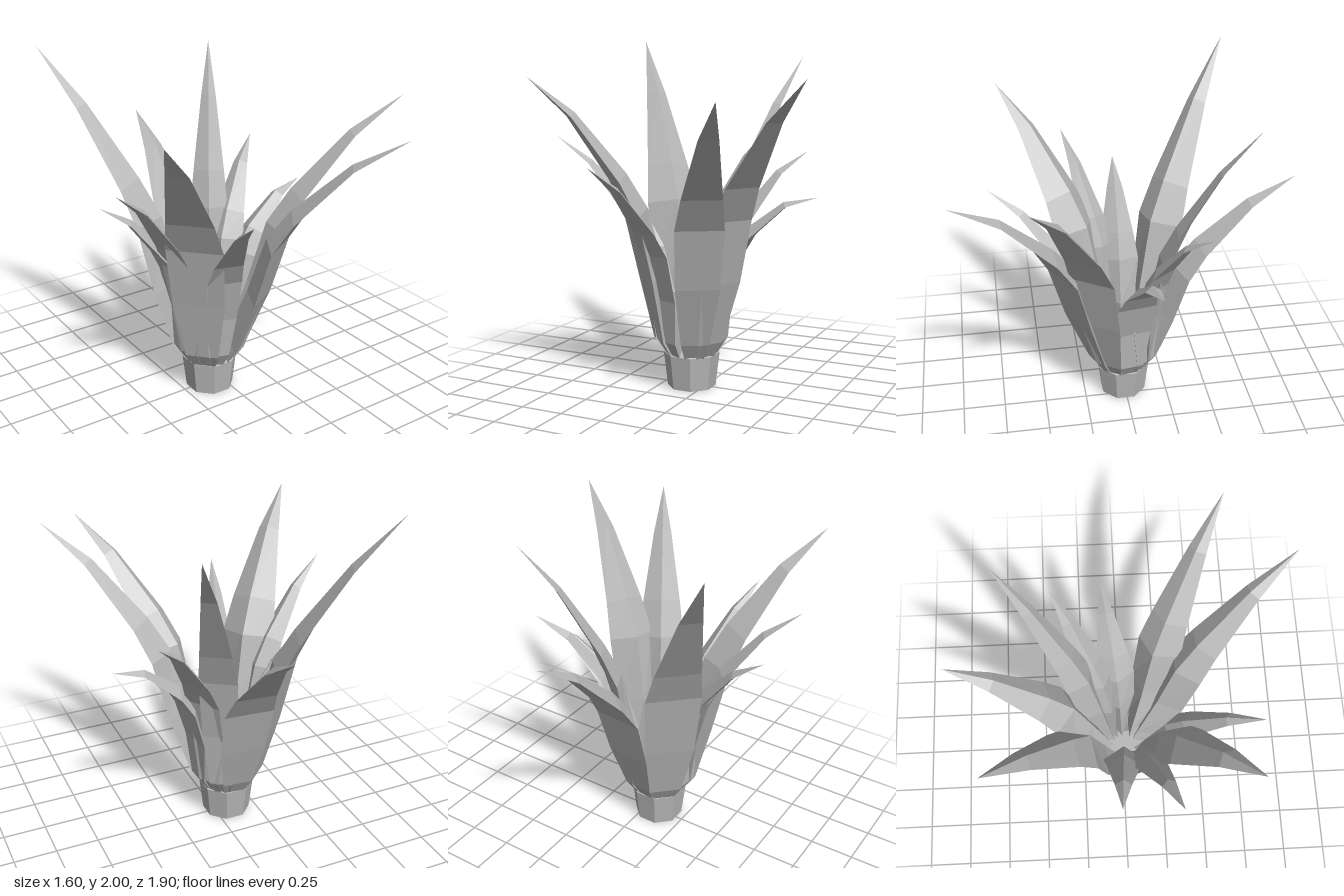
import * as THREE from 'three';

const CENTER_X = -0.08, CENTER_Z = 0.01, BASE_Y = 0.19;

// Leaf stations: radius fraction, height fraction, width fraction, ridge depth
const STATIONS = [
  [0.3, 0.3, 0.92, 0.1],
  [0.39, 0.53, 1, 0.09],
  [0.49, 0.65, 0.82, 0.07],
  [0.755, 0.87, 0.39, 0.035],
  [1, 1, 0, 0],
];

// Leaves: tip x, y, z, half width, droop
const LEAVES = [
  [-0.74, 2.0, -0.68, 0.155, -0.07],
  [0.01, 1.45, -0.95, 0.145, 0],
  [0.35, 1.9, -0.64, 0.11, -0.05],
  [0.48, 1.36, -0.38, 0.11, 0.03],
  [0.64, 1.13, -0.1, 0.115, 0.1],
  [0.8, 1.78, 0.57, 0.135, -0.01],
  [0.5, 1.68, 0.95, 0.135, 0],
  [-0.31, 1.33, 0.75, 0.1, 0.01],
  [-0.74, 1.79, 0.65, 0.16, -0.01],
  [-0.8, 1.45, 0.28, 0.1, 0.01],
  [-0.74, 1.27, -0.03, 0.12, 0.02],
];

// Three-sided blade: flat outer face, ridge on the inner side, swept to a point
function leafGeometry(reach, height, halfWidth, droop) {
  const path = [[0.14, 0, 0.4, 0.09], [0.2, 0.1, 0.6, 0.11]];
  for (const [r, h, w, d] of STATIONS) {
    path.push([r * reach, (h + droop * Math.sin(Math.PI * r)) * height, w, d * halfWidth / 0.135]);
  }
  const positions = [], indices = [0, 1, 2];
  path.forEach(([r, y, w, depth], i) => {
    const a = path[Math.max(i - 1, 0)], b = path[Math.min(i + 1, path.length - 1)];
    const dr = b[0] - a[0], dy = b[1] - a[1], len = Math.hypot(dr, dy);
    const half = w * halfWidth;
    positions.push(half, y, r, 0, y + (dr / len) * depth, r - (dy / len) * depth, -half, y, r);
    if (i === 0) return;
    for (let side = 0; side < 3; side++) {
      const p = (i - 1) * 3 + side, q = (i - 1) * 3 + (side + 1) % 3;
      indices.push(p, q + 3, q, p, p + 3, q + 3);
    }
  });
  const geometry = new THREE.BufferGeometry();
  geometry.setAttribute('position', new THREE.Float32BufferAttribute(positions, 3));
  geometry.setIndex(indices);
  geometry.computeVertexNormals();
  return geometry;
}

export function createModel() {
  const grey = new THREE.MeshStandardMaterial({
    color: 0xb8b8b8, flatShading: true, side: THREE.DoubleSide,
  });
  grey.name = 'plain grey';
  const model = new THREE.Group();
  model.name = 'spikyPlant';

  // Tapered eight-sided stump with a low crown on top
  const addStump = (name, top, bottom, height, y) => {
    const mesh = new THREE.Mesh(new THREE.CylinderGeometry(top, bottom, height, 8), grey);
    mesh.name = name;
    mesh.rotation.y = Math.PI / 8;
    mesh.position.set(CENTER_X, y, CENTER_Z);
    model.add(mesh);
  };
  addStump('stump', 0.163, 0.14, 0.2, 0.1);
  addStump('stumpCrown', 0.1, 0.16, 0.035, 0.2175);

  // Ring of leaves, each turned toward its tip
  LEAVES.forEach(([x, y, z, halfWidth, droop], i) => {
    const dx = x - CENTER_X, dz = z - CENTER_Z;
    const geometry = leafGeometry(Math.hypot(dx, dz), y - BASE_Y, halfWidth, droop);
    const leaf = new THREE.Mesh(geometry, grey);
    leaf.name = `leaf${i + 1}`;
    leaf.position.set(CENTER_X, BASE_Y, CENTER_Z);
    leaf.rotation.y = Math.atan2(dx, dz);
    model.add(leaf);
  });
  return model;
}
